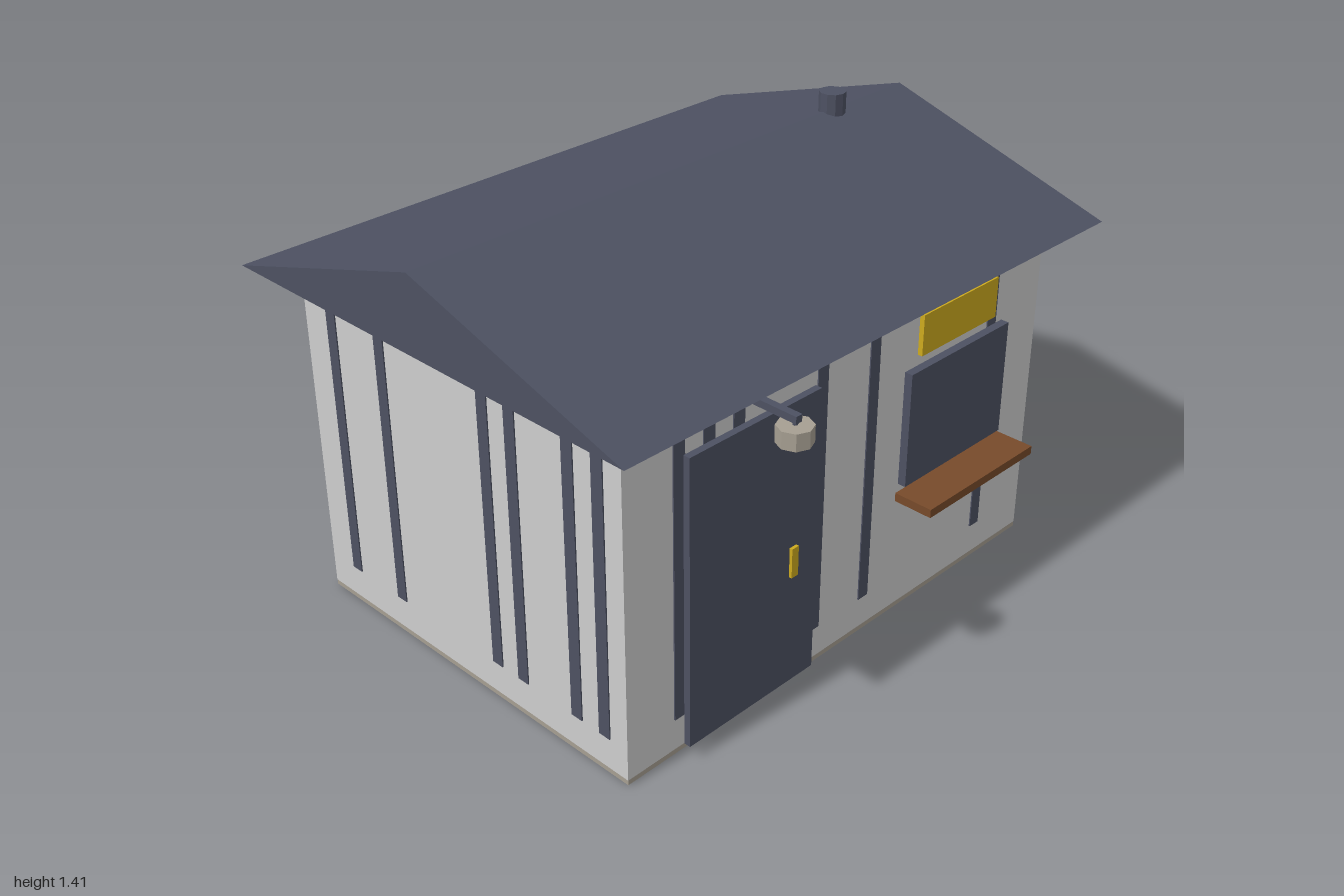
import * as THREE from 'three';

export function createModel() {
  const model = new THREE.Group();
  model.name = 'hut';
  const paint = (name, color) => {
    const m = new THREE.MeshStandardMaterial({ color });
    m.name = name;
    return m;
  };
  const wallGrey = paint('wall grey', 0xcecece);
  const slate = paint('slate', 0x4d5162);
  const stone = paint('stone', 0xa69f92);
  const wood = paint('brown wood', 0x774a2a);
  const yellow = paint('yellow', 0xcdaa1e);

  const add = (name, geometry, material) => {
    const mesh = new THREE.Mesh(geometry, material);
    mesh.name = name;
    model.add(mesh);
    return mesh;
  };
  // box given by its lower and upper limits on each axis
  const box = (name, material, [x0, x1], [y0, y1], [z0, z1]) => {
    const g = new THREE.BoxGeometry(x1 - x0, y1 - y0, z1 - z0);
    g.translate((x0 + x1) / 2, (y0 + y1) / 2, (z0 + z1) / 2);
    return add(name, g, material);
  };
  const cylinder = (name, material, r, [y0, y1], x, z, sides) => {
    const g = new THREE.CylinderGeometry(r, r, y1 - y0, sides).toNonIndexed();
    g.computeVertexNormals();
    return add(name, g.translate(x, (y0 + y1) / 2, z), material);
  };

  // Walls, and a plinth that shows fully at the back and right
  const X = [-0.89, 0.885], Z = [-0.715, 0.62];
  box('walls', wallGrey, X, [0.02, 1.112], Z);
  box('plinth', stone, [-0.887, 0.888], [0, 0.08], [-0.718, 0.617]);

  // Solid gable roof
  const gable = new THREE.Shape([
    new THREE.Vector2(-0.75, 1.112),
    new THREE.Vector2(0.848, 1.112),
    new THREE.Vector2(0.05, 1.356),
  ]);
  const roof = new THREE.ExtrudeGeometry(gable, { depth: 2, bevelEnabled: false });
  roof.rotateY(Math.PI / 2).translate(-1, 0, 0);
  add('roof', roof, slate);
  cylinder('chimney', slate, 0.043, [1.31, 1.415], 0.663, -0.05, 10);

  // Painted wall strips
  const half = 0.021, t = 0.004, stripY = [0.125, 1.08];
  const around = (c) => [c - half, c + half];
  for (const x of [-0.692, -0.582, -0.47, -0.136, 0.088, 0.645])
    box('frontStrip', slate, around(x), stripY, [Z[1] - t, Z[1] + t]);
  for (const x of [0.53, 0.2, -0.134, -0.355, -0.69])
    box('backStrip', slate, around(x), stripY, [Z[0] - t, Z[0] + t]);
  for (const z of [0.42, 0.087, -0.024, -0.136, -0.247, -0.36, -0.582])
    box('rightStrip', slate, [X[1] - t, X[1] + t], stripY, around(z));
  for (const z of [-0.585, -0.36, 0.087, 0.198, 0.422, 0.533])
    box('leftStrip', slate, [X[0] - t, X[0] + t], stripY, around(z));

  // Door
  box('doorBacking', wood, [-0.66, -0.235], [0.08, 0.945], [0.61, 0.646]);
  box('door', slate, [-0.7, -0.195], [0.05, 0.98], [0.646, 0.668]);
  box('doorHandle', yellow, [-0.307, -0.28], [0.42, 0.517], [0.664, 0.678]);

  // Window, sill and sign
  box('windowBacking', slate, [0.25, 0.635], [0.515, 0.825], [0.61, 0.64]);
  box('window', slate, [0.21, 0.675], [0.48, 0.857], [0.637, 0.664]);
  box('windowSill', wood, [0.19, 0.695], [0.432, 0.46], [0.645, 0.777]);
  box('sign', yellow, [0.265, 0.618], [0.893, 1.025], [0.637, 0.653]);

  // Lamp on its arm
  box('lampArm', slate, [-0.462, -0.439], [1.036, 1.058], [0.625, 0.81]);
  cylinder('lampStem', slate, 0.008, [1.02, 1.04], -0.45, 0.797, 6);
  cylinder('lamp', stone, 0.052, [0.975, 1.027], -0.45, 0.797, 8);

  return model;
}
